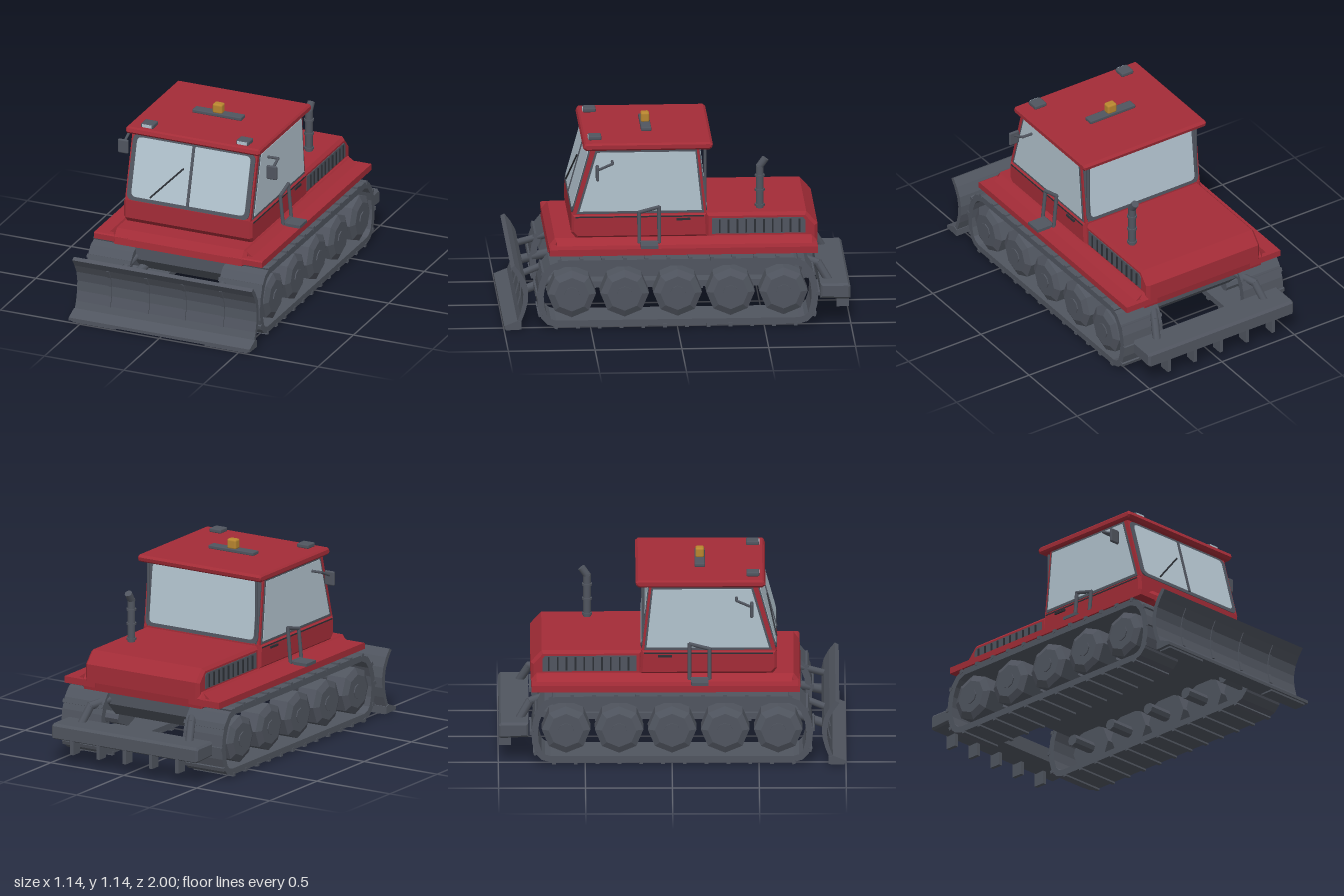
import * as THREE from 'three';
import { RoundedBoxGeometry } from 'three/addons/geometries/RoundedBoxGeometry.js';

const mat = (name, color, extra = {}) => Object.assign(new THREE.MeshStandardMaterial({ color, ...extra }), { name });

export function createModel() {
  const model = new THREE.Group();
  model.name = 'snowGroomer';
  const red = mat('red paint', 0xa32c37);
  const dark = mat('dark grey metal', 0x50555f);
  const glass = mat('window glass', 0xb2c3ce);
  const amber = mat('amber beacon', 0xb8862f);
  const black = mat('black trim', 0x2c2f35);

  const add = (name, geo, material, parent = model) => {
    const m = new THREE.Mesh(geo, material);
    m.name = name;
    parent.add(m);
    return m;
  };
  const flat = (g) => { const f = g.index ? g.toNonIndexed() : g; f.computeVertexNormals(); return f; };
  const box = (name, w, h, d, x, y, z, material, parent) => {
    const m = add(name, new THREE.BoxGeometry(w, h, d), material, parent);
    m.position.set(x, y, z);
    return m;
  };
  const vecs = (pts) => pts.map(([a, b]) => new THREE.Vector2(a, b));
  // Side outline of [z, y] points, extruded across x with bevel b
  const slab = (name, pts, xa, xb, material, b = 0, hole) => {
    const x0 = Math.min(xa, xb), x1 = Math.max(xa, xb);
    const shape = new THREE.Shape(vecs(pts));
    if (hole) shape.holes.push(new THREE.Path(vecs(hole)));
    const geo = new THREE.ExtrudeGeometry(shape, {
      depth: x1 - x0 - 2 * b, bevelEnabled: b > 0, bevelThickness: b, bevelSize: b, bevelOffset: -b, bevelSegments: 1,
    });
    geo.rotateY(-Math.PI / 2);
    geo.translate(x1 - b, 0, 0);
    return add(name, geo, material);
  };
  // Chain of round rods through a list of points
  const rods = (name, pts, r, material, sides = 8) => {
    const g = new THREE.Group();
    g.name = name;
    model.add(g);
    for (let i = 0; i + 1 < pts.length; i++) {
      const a = new THREE.Vector3(...pts[i]), d = new THREE.Vector3(...pts[i + 1]).sub(a);
      const m = add(name + 'Rod', new THREE.CylinderGeometry(r, r, d.length() + r * 0.7, sides), material, g);
      m.position.copy(a).addScaledVector(d, 0.5);
      m.quaternion.setFromUnitVectors(new THREE.Vector3(0, 1, 0), d.normalize());
    }
    return g;
  };

  // Hull between the tracks
  slab('hull', [[0.6, 0.24], [0.7, 0.33], [0.7, 0.42], [-0.72, 0.42], [-0.72, 0.32], [-0.64, 0.24]], -0.29, 0.29, dark);

  // Tracks: closed belt with cleats, five wheels each
  const end = [[0.7, 0.015], [0.75, 0.03], [0.785, 0.065], [0.805, 0.13], [0.81, 0.2], [0.8, 0.27], [0.775, 0.335], [0.735, 0.385], [0.67, 0.41]];
  const belt = [...end, ...end.map(([z, y]) => [-z, y]).reverse()];
  const inner = belt.map(([z, y], i) => {
    const p = belt[(i + belt.length - 1) % belt.length], n = belt[(i + 1) % belt.length];
    const dz = n[0] - p[0], dy = n[1] - p[1], l = Math.hypot(dz, dy);
    return [z - dy / l * 0.038, y + dz / l * 0.038];
  });
  const beltPath = new THREE.Path(vecs([...belt, belt[0]]));
  for (const s of [1, -1]) {
    slab('trackBelt', belt, s * 0.28, s * 0.55, dark, 0, inner);
    const cleats = 30;
    for (let i = 0; i < cleats; i++) {
      const p = beltPath.getPointAt(i / cleats), t = beltPath.getTangentAt(i / cleats);
      const c = box('trackCleat', 0.275, 0.022, 0.022, s * 0.415, p.y, p.x, dark);
      c.rotation.x = -Math.atan2(t.y, t.x);
    }
    for (let i = -2; i <= 2; i++) {
      const wheel = new THREE.Group();
      wheel.name = 'roadWheel';
      wheel.position.set(0, 0.21, i * 0.305);
      wheel.rotation.z = -s * Math.PI / 2;
      model.add(wheel);
      const disc = (name, rOut, rIn, x0, x1) => {
        add(name, flat(new THREE.CylinderGeometry(rOut, rIn, x1 - x0, 8)), dark, wheel).position.y = (x0 + x1) / 2;
      };
      disc('wheelRim', 0.14, 0.14, 0.42, 0.542);
      disc('wheelDish', 0.1, 0.14, 0.542, 0.562);
      disc('wheelHub', 0.045, 0.045, 0.56, 0.568);
      disc('wheelAxle', 0.035, 0.035, 0.27, 0.42);
    }
  }

  // Deck and fenders
  slab('deck', [[0.74, 0.42], [0.735, 0.46], [0.7, 0.505], [-0.78, 0.505], [-0.81, 0.47], [-0.8, 0.41], [0.7, 0.41]], -0.42, 0.42, red, 0.02);
  for (const s of [1, -1]) {
    slab('fender', [[0.735, 0.43], [0.735, 0.462], [0.725, 0.468], [-0.81, 0.468], [-0.81, 0.43]], s * 0.32, s * 0.53, red);
    // Sloping shoulder from fender up to deck
    const shoulder = add('deckShoulder', new THREE.ExtrudeGeometry(new THREE.Shape(vecs(
      s > 0 ? [[0.38, 0.46], [0.46, 0.46], [0.4, 0.503], [0.38, 0.503]] : [[-0.38, 0.46], [-0.38, 0.503], [-0.4, 0.503], [-0.46, 0.46]])),
      { depth: 1.47, bevelEnabled: false }), red);
    shoulder.position.z = -0.78;
    box('stepPad', 0.125, 0.018, 0.1, s * 0.472, 0.477, 0.16, dark);
    rods('handrail', [[s * 0.43, 0.48, 0.1], [s * 0.412, 0.685, 0.1], [s * 0.412, 0.655, 0.215], [s * 0.43, 0.48, 0.215], [s * 0.43, 0.48, 0.1]], 0.011, dark);
  }

  // Cab body
  slab('cabLower', [[0.575, 0.5], [0.605, 0.535], [0.602, 0.645], [-0.178, 0.645], [-0.185, 0.5]], -0.405, 0.405, red, 0.015);
  slab('cabUpper', [[0.6, 0.635], [0.49, 1.035], [-0.13, 1.035], [-0.175, 0.635]], -0.395, 0.395, red);
  slab('roof', [[0.52, 1.025], [0.537, 1.04], [0.53, 1.06], [0.52, 1.068], [-0.195, 1.068], [-0.21, 1.055], [-0.205, 1.035], [-0.19, 1.025]], -0.422, 0.422, red, 0.01);

  // Side windows, sill trim and door handles
  for (const s of [1, -1]) {
    slab('sideWindowFrame', [[0.575, 0.645], [0.465, 1.022], [-0.118, 1.022], [-0.16, 0.645]], s * 0.394, s * 0.399, dark);
    slab('sideWindowGlass', [[0.558, 0.66], [0.456, 1.01], [-0.11, 1.01], [-0.147, 0.66]], s * 0.396, s * 0.402, glass);
    box('sillTrim', 0.004, 0.008, 0.74, s * 0.405, 0.627, 0.21, black);
    box('doorHandle', 0.012, 0.012, 0.08, s * 0.408, 0.61, -0.04, black);
    rods('rearCabBar', [[s * 0.37, 0.63, -0.167], [s * 0.37, 1.03, -0.167]], 0.009, dark);
  }

  // Front and rear windows on tilted panes
  const rounded = (w, y0, y1, r) => {
    const c = new THREE.Shape();
    c.moveTo(-w + r, y0).lineTo(w - r, y0).quadraticCurveTo(w, y0, w, y0 + r);
    c.lineTo(w, y1 - r).quadraticCurveTo(w, y1, w - r, y1);
    c.lineTo(-w + r, y1).quadraticCurveTo(-w, y1, -w, y1 - r);
    c.lineTo(-w, y0 + r).quadraticCurveTo(-w, y0, -w + r, y0);
    return c;
  };
  const pane = (name, z, turn, tilt) => {
    const g = new THREE.Group();
    g.name = name;
    g.position.set(0, 0.64, z);
    g.rotation.set(tilt, turn, 0, 'YXZ');
    model.add(g);
    const plate = (n, shape, depth, m) => add(n, new THREE.ExtrudeGeometry(shape, { depth, bevelEnabled: false, curveSegments: 4 }), m, g);
    plate(name + 'Frame', rounded(0.385, 0.006, 0.395, 0.04), 0.006, dark);
    plate(name + 'Glass', rounded(0.357, 0.028, 0.378, 0.03), 0.009, glass);
    return g;
  };
  const front = pane('windshield', 0.599, 0, -0.27);
  box('windshieldMullion', 0.016, 0.36, 0.008, 0, 0.203, 0.011, dark, front);
  const wiper = box('wiper', 0.009, 0.275, 0.008, -0.142, 0.14, 0.014, black, front);
  wiper.rotation.z = -0.75;
  pane('rearWindow', -0.1745, Math.PI, -0.112);

  // Roof lights and beacon
  const bar = add('lightBar', new RoundedBoxGeometry(0.31, 0.022, 0.06, 1, 0.006), dark);
  bar.position.set(0, 1.077, 0.16);
  add('beacon', new RoundedBoxGeometry(0.062, 0.06, 0.05, 2, 0.012), amber).position.set(0, 1.113, 0.16);
  for (const s of [1, -1]) {
    add('roofLamp', new RoundedBoxGeometry(0.08, 0.026, 0.075, 1, 0.008), dark).position.set(s * 0.3, 1.079, 0.465);
    box('roofLampLens', 0.06, 0.018, 0.005, s * 0.3, 1.079, 0.502, glass);
    // Mirrors
    rods('mirrorArm', [[s * 0.39, 0.96, 0.37], [s * 0.468, 0.962, 0.37], [s * 0.468, 0.925, 0.455]], 0.008, dark, 6);
    add('mirror', new RoundedBoxGeometry(0.066, 0.086, 0.018, 2, 0.009), dark).position.set(s * 0.468, 0.908, 0.458);
  }

  // Engine hood with side grilles
  slab('hood', [[-0.17, 0.46], [-0.17, 0.637], [-0.75, 0.637], [-0.815, 0.565], [-0.815, 0.46]], -0.39, 0.39, red, 0.018);
  for (const s of [1, -1]) {
    slab('sideGrille', [[-0.205, 0.515], [-0.205, 0.607], [-0.73, 0.607], [-0.745, 0.59], [-0.745, 0.515]], s * 0.387, s * 0.394, dark);
    for (let i = 0; i < 10; i++) box('grilleSlat', 0.008, 0.08, 0.01, s * 0.396, 0.56, -0.25 - i * 0.051, black);
  }

  // Exhaust stack
  rods('exhaust', [[0.28, 0.62, -0.487], [0.28, 0.885, -0.487], [0.28, 0.925, -0.515]], 0.022, dark, 12);
  for (const y of [0.655, 0.745, 0.83]) {
    add('exhaustCollar', new THREE.CylinderGeometry(0.029, 0.029, 0.012, 12), dark).position.set(0.28, y, -0.487);
  }

  // Front blade: curved plate, cutting edge, ribs and push arms
  const face = [[0.962, 0.375], [0.93, 0.33], [0.903, 0.28], [0.89, 0.22], [0.893, 0.16], [0.908, 0.1], [0.93, 0.045]];
  slab('blade', [...face, [0.905, 0.045], [0.88, 0.11], [0.864, 0.17], [0.862, 0.23], [0.875, 0.29], [0.905, 0.345], [0.94, 0.388]], -0.565, 0.565, dark);
  slab('cuttingEdge', [[0.925, 0.06], [1, 0.03], [1, 0.012], [0.9, 0.008], [0.9, 0.05]], -0.57, 0.57, dark);
  const ribFace = face.slice(1, 6);
  for (const x of [-0.355, -0.115, 0.115, 0.355]) {
    slab('bladeRib', [...ribFace.map(([z, y]) => [z + 0.008, y]), ...ribFace.map(([z, y]) => [z - 0.005, y]).reverse()], x - 0.009, x + 0.009, dark);
  }
  for (const s of [1, -1]) {
    rods('bladeLowerArm', [[s * 0.26, 0.26, 0.6], [s * 0.32, 0.18, 0.87]], 0.026, dark);
    rods('bladeUpperArm', [[s * 0.27, 0.36, 0.64], [s * 0.325, 0.28, 0.88]], 0.02, dark);
    box('bladeSkid', 0.27, 0.012, 0.08, s * 0.415, 0.006, 0.95, dark);
  }

  // Rear implement bar with teeth and lift arms
  slab('rearBar', [[-0.825, 0.15], [-0.825, 0.235], [-0.985, 0.235], [-0.998, 0.22], [-0.998, 0.15], [-0.985, 0.142]], -0.5, 0.5, dark, 0.012);
  for (let i = -2; i <= 2; i++) box('rearTooth', 0.022, 0.1, 0.07, i * 0.18, 0.115, -0.96, dark);
  for (const s of [1, -1]) {
    rods('rearLiftArm', [[s * 0.27, 0.35, -0.68], [s * 0.345, 0.32, -0.82], [s * 0.37, 0.22, -0.88]], 0.024, dark);
  }
  return model;
}
